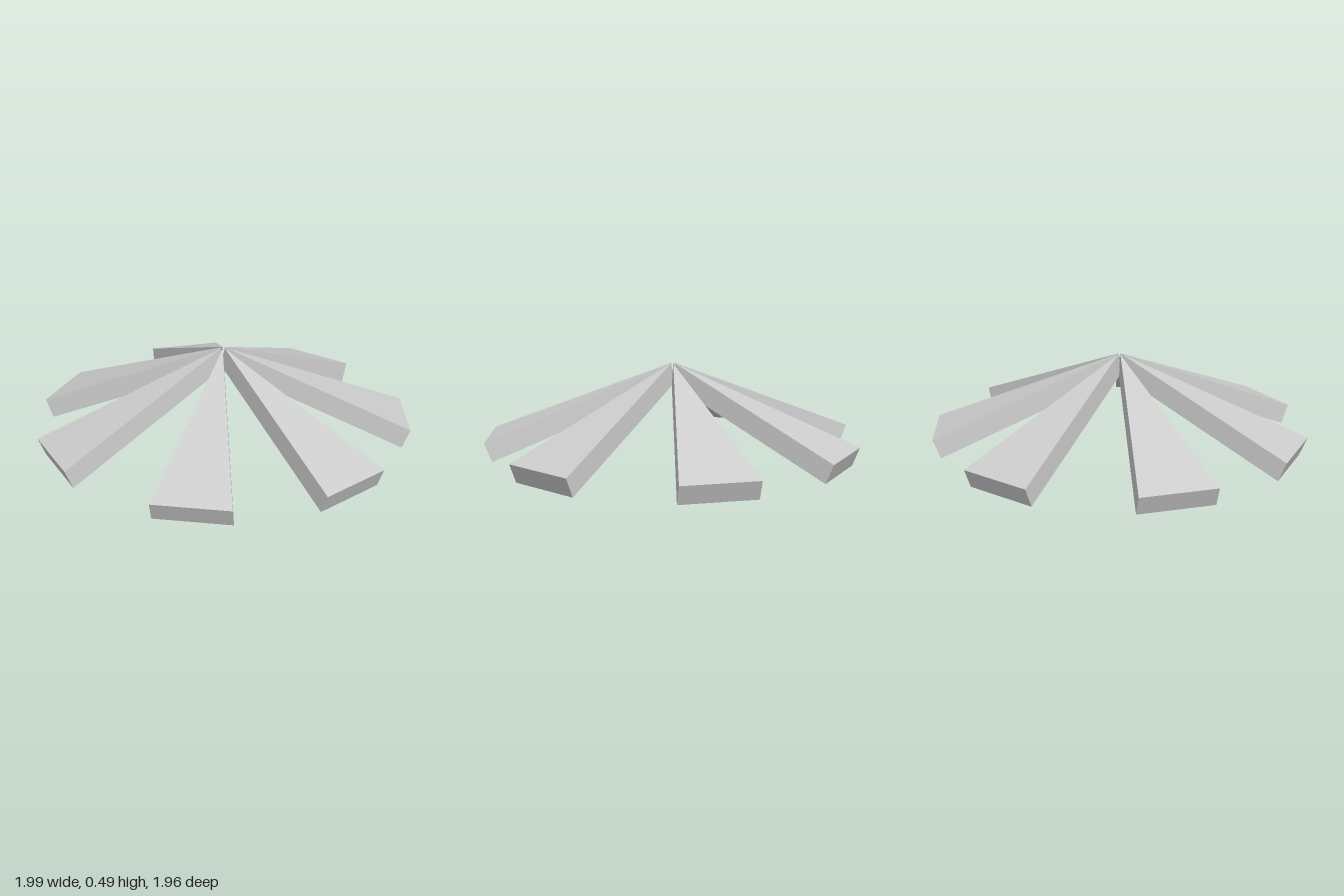
import * as THREE from 'three';

// Seven tapering slabs leaning outward from a shared peak
export function createModel() {
  const group = new THREE.Group();
  group.name = 'radialBlades';
  const material = new THREE.MeshStandardMaterial({ color: 0xcccccc, flatShading: true });

  const peakHeight = 0.49, peakRadius = 0.015;
  const run = 0.963, drop = 0.39; // outward reach and fall of the top face
  const length = Math.hypot(run, drop), tilt = Math.atan2(drop, run);
  const halfWidth = 0.197, thickness = 0.108;

  // One blade: a triangular slab with its point at the peak, facing +z
  const outline = new THREE.Shape([
    new THREE.Vector2(0, 0),
    new THREE.Vector2(-halfWidth, -length),
    new THREE.Vector2(halfWidth, -length),
  ]);
  const blade = new THREE.ExtrudeGeometry(outline, { depth: thickness, bevelEnabled: false });
  blade.translate(0, 0, -thickness);
  blade.rotateX(-Math.PI / 2 + tilt);
  blade.translate(0, peakHeight, peakRadius);

  // Slightly uneven spacing around the peak, in degrees from the front
  [-1.3, 48.4, 98.1, 152, 201.5, 255.2, 305.2].forEach((angle, i) => {
    const mesh = new THREE.Mesh(blade, material);
    mesh.name = `blade${i + 1}`;
    mesh.rotation.y = THREE.MathUtils.degToRad(angle);
    group.add(mesh);
  });
  return group;
}
